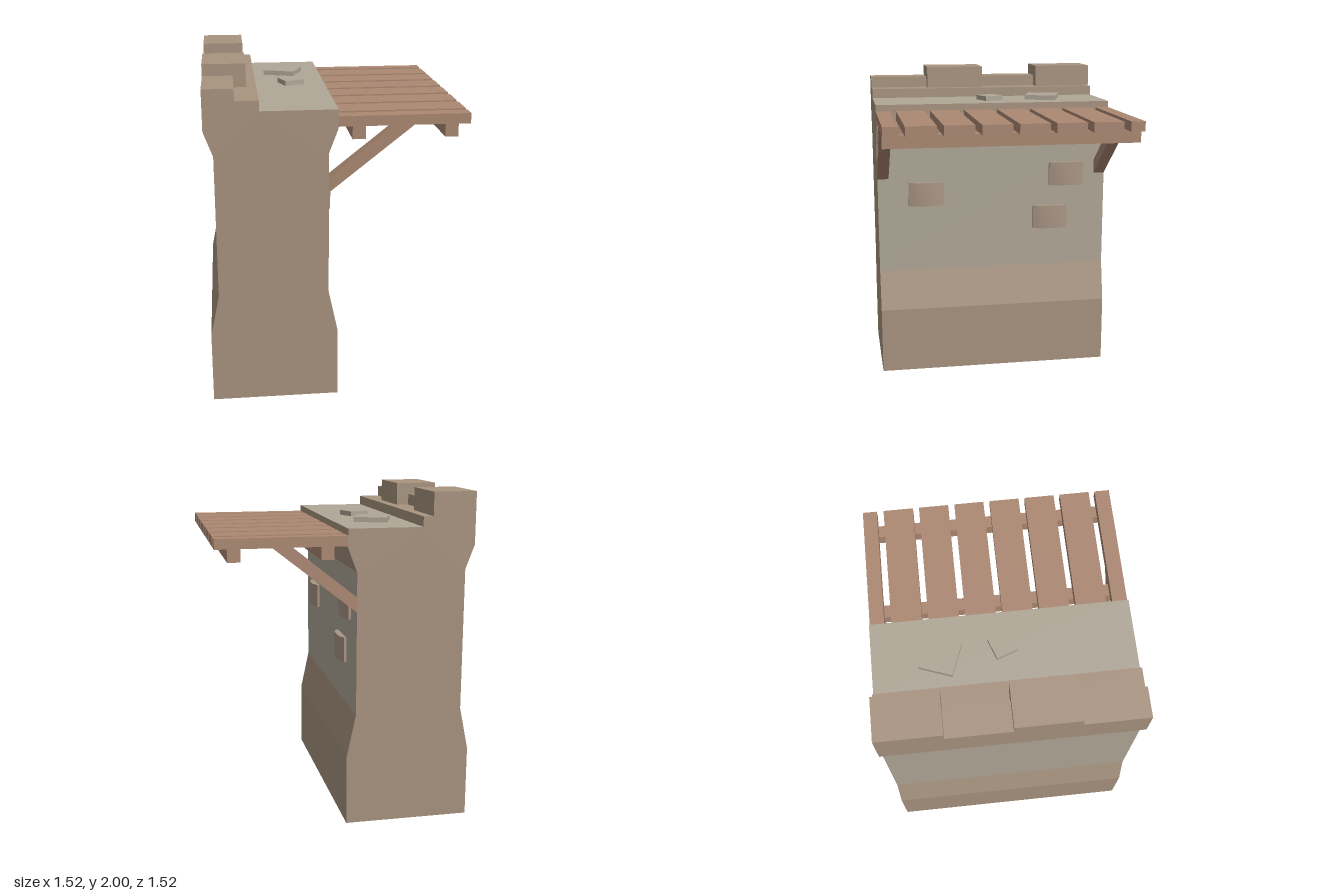
import * as THREE from 'three';
import { toCreasedNormals } from 'three/addons/utils/BufferGeometryUtils.js';

const mat = (color) => new THREE.MeshStandardMaterial({ color, flatShading: true, roughness: 0.9 });
const clay = mat(0xa8937f);
const plaster = mat(0xafa797);
const wood = mat(0xab8872);
const brickMat = new THREE.MeshStandardMaterial({ color: 0xa99685, roughness: 0.9 });

// Extrude an x/y outline along z, centred on z = 0
function prism(points, depth) {
  const shape = new THREE.Shape(points.map(([x, y]) => new THREE.Vector2(x, y)));
  return new THREE.ExtrudeGeometry(shape, { depth, bevelEnabled: false }).translate(0, 0, -depth / 2);
}

export function createModel() {
  const model = new THREE.Group();
  model.name = 'wallSection';

  const add = (name, geometry, material, parent = model) => {
    const mesh = new THREE.Mesh(geometry, material);
    mesh.name = name;
    parent.add(mesh);
    return mesh;
  };
  const box = (name, material, [x0, x1], [y0, y1], [z0, z1], parent) => {
    const mesh = add(name, new THREE.BoxGeometry(x1 - x0, y1 - y0, z1 - z0), material, parent);
    mesh.position.set((x0 + x1) / 2, (y0 + y1) / 2, (z0 + z1) / 2);
    return mesh;
  };

  // Wall: flared at the foot and at the top, with a step behind the walkway
  const wallGeo = prism([
    [0, 0], [0, 0.43], [-0.055, 0.69], [-0.055, 1.545], [0, 1.69], [0, 1.8],
    [-0.445, 1.8], [-0.445, 1.86], [-0.762, 1.86],
    [-0.762, 1.69], [-0.708, 1.545], [-0.708, 0.69], [-0.762, 0.43], [-0.762, 0],
  ], 1.524);
  // Plaster goes on the recessed bands and the walkway floor, clay elsewhere
  const sides = wallGeo.groups[1];
  const pos = wallGeo.attributes.position;
  wallGeo.clearGroups();
  wallGeo.addGroup(0, sides.start, 0);
  for (let i = sides.start; i < sides.start + sides.count; i += 3) {
    const ys = [pos.getY(i), pos.getY(i + 1), pos.getY(i + 2)];
    const lo = Math.min(...ys), hi = Math.max(...ys);
    const band = lo > 0.68 && hi < 1.55;
    const floor = lo > 1.79 && hi < 1.81;
    wallGeo.addGroup(i, 3, band || floor ? 1 : 0);
  }
  add('wall', wallGeo, [clay, plaster]);

  // Battlements, alternating low and high from the front
  const battlements = new THREE.Group();
  battlements.name = 'battlements';
  model.add(battlements);
  for (let i = 0; i < 4; i++) {
    const high = i % 2 === 1;
    const z = 0.762 - i * 0.381;
    box(high ? 'highMerlon' : 'lowMerlon', clay,
      [-0.762, high ? -0.505 : -0.582], [1.86, high ? 2 : 1.93], [z - 0.381, z], battlements);
  }

  // Loose slabs lying on the walkway: x, z, side, turn
  [[-0.24, -0.366, 0.203, -20], [-0.213, -0.005, 0.128, 20]].forEach(([x, z, s, turn]) => {
    const slab = add('looseSlab', new THREE.BoxGeometry(s, 0.03, s), plaster);
    slab.position.set(x, 1.815, z);
    slab.rotation.y = THREE.MathUtils.degToRad(turn);
  });

  // Timber platform: six full planks between two narrow end planks
  const platform = new THREE.Group();
  platform.name = 'platform';
  model.add(platform);
  for (let i = 0; i < 8; i++) {
    const c = (i - 3.5) * 0.218;
    const z = [Math.max(c - 0.09, -0.762), Math.min(c + 0.09, 0.762)];
    if (i === 0) z[1] = -0.677;
    if (i === 7) z[0] = 0.673;
    box('plank', wood, [0, 0.762], [1.7, 1.76], z, platform);
  }
  [0.08, 0.615].forEach((x) =>
    box('beam', wood, [x, x + 0.076], [1.625, 1.7], [-0.762, 0.762], platform));

  // Diagonal braces at both ends
  [-1, 1].forEach((side) => {
    const brace = add('brace', prism([[-0.057, 1.31], [0.435, 1.7], [0.32, 1.7], [-0.057, 1.4]], 0.072), wood, platform);
    brace.position.z = side * 0.726;
  });

  // Exposed bricks with rounded fronts: z, y of centre
  const brickGeo = toCreasedNormals(
    prism([[-0.117, -0.02], [0.117, -0.02], [0.117, 0.018], [0.06, 0.04], [-0.06, 0.04], [-0.117, 0.018]], 0.155)
      .rotateX(-Math.PI / 2).rotateY(Math.PI / 2), 1.2);
  brickGeo.computeBoundingBox();
  // Seat the rounded side outward from the wall face
  const outward = brickGeo.boundingBox.max.x > 0.03;
  [[0.445, 1.207], [-0.497, 1.317], [-0.387, 1.025]].forEach(([z, y]) => {
    const brick = add('exposedBrick', brickGeo, brickMat);
    brick.position.set(-0.057, y, z);
    if (!outward) brick.rotation.y = Math.PI;
  });

  return model;
}
